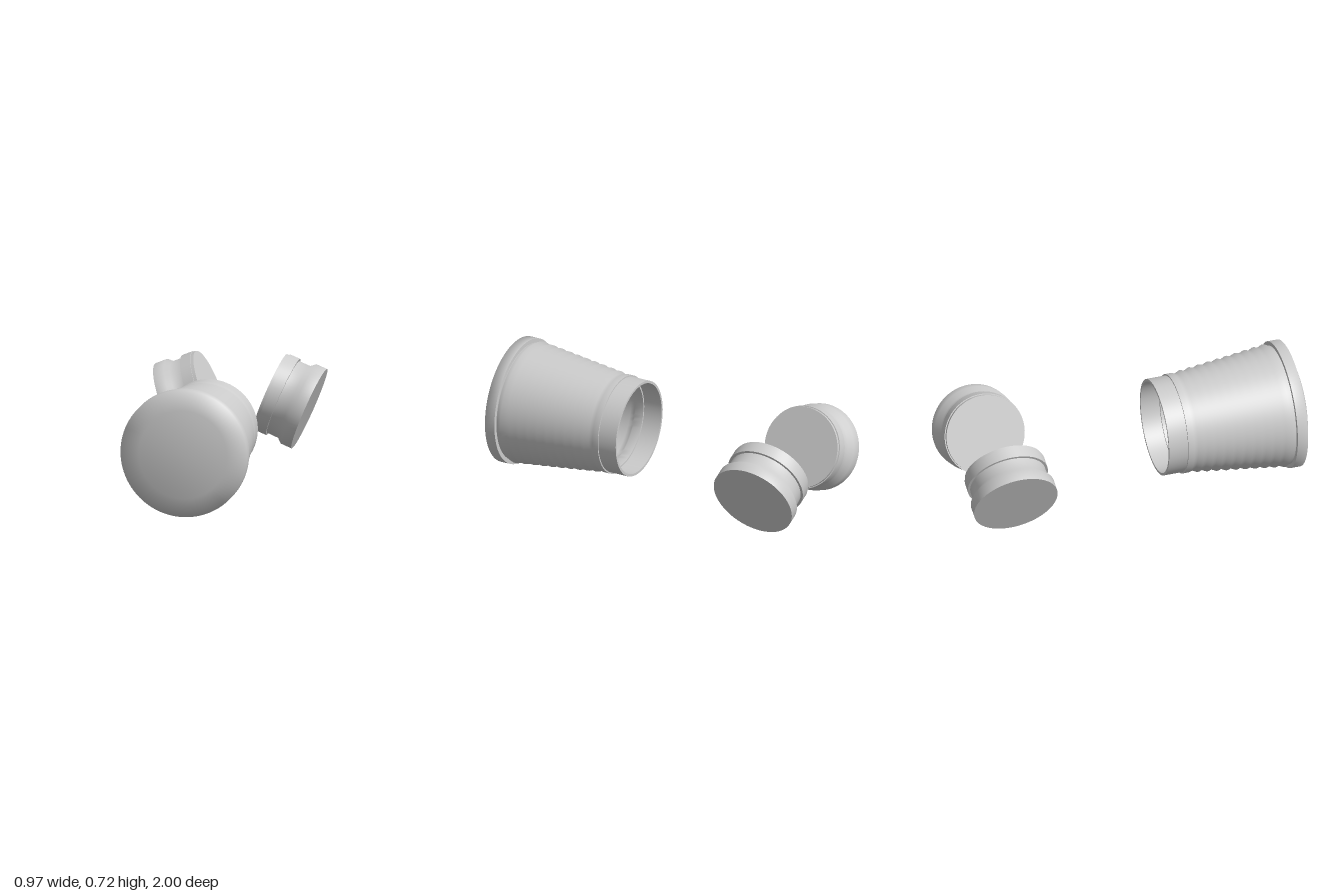
import * as THREE from 'three';
import { toCreasedNormals } from 'three/addons/utils/BufferGeometryUtils.js';

const grey = new THREE.MeshStandardMaterial({ color: 0xcccccc });
grey.name = 'light grey';

// Turned part around y from [radius, height] pairs; square steps stay sharp
function turned(name, profile, segments = 72) {
  const points = profile.map(([r, h]) => new THREE.Vector2(r, h));
  const geometry = new THREE.LatheGeometry(points, segments);
  const mesh = new THREE.Mesh(toCreasedNormals(geometry, THREE.MathUtils.degToRad(78)), grey);
  mesh.name = name;
  return mesh;
}

// Ridged sleeve that widens toward the front: ten ridges, thinned by `inset`
function ridges(inset) {
  const points = [];
  const count = 10, start = 0.35, end = 0.9;
  const pitch = (end - start) / count;
  for (let i = 0; i < count; i++) {
    const t = i / (count - 1);
    const ridge = THREE.MathUtils.lerp(0.289, 0.348, t) - inset;
    points.push([ridge - 0.014, start + i * pitch]);
    points.push([ridge, start + (i + 0.55) * pitch]);
  }
  points.push([0.336 - inset, end]);
  return points;
}

export function createModel() {
  const model = new THREE.Group();
  model.name = 'bellowsAndPlugs';

  // Hollow body: inside from the front to the open neck, then the outside back to the cap
  const body = turned('ridgedBody', [
    [0, 0.93], [0.316, 0.93],
    ...ridges(0.02).reverse(),
    [0.25, 0.34], [0.25, 0.29], [0.26, 0.29], [0.26, 0.18],
    [0.274, 0.18], [0.274, 0.29], [0.282, 0.29], [0.282, 0.325],
    ...ridges(0),
    [0.336, 0.905], [0.36, 0.905], [0.36, 0.965], [0.25, 0.998], [0, 1],
  ], 96);
  body.rotation.x = Math.PI / 2;
  body.position.y = 0.364;
  model.add(body);

  // Pair of waisted plugs, wide ends tilted outward and down
  for (const side of [1, -1]) {
    const plug = turned(side > 0 ? 'leftPlug' : 'rightPlug', [
      [0, 0], [0.243, 0], [0.243, 0.065], [0.22, 0.092], [0.219, 0.16],
      [0.233, 0.16], [0.233, 0.222], [0.227, 0.222], [0.227, 0.24], [0, 0.24],
    ]);
    plug.rotation.z = side * THREE.MathUtils.degToRad(67.5);
    plug.position.set(side * 0.392, 0.303, -0.756);
    model.add(plug);
  }
  return model;
}
